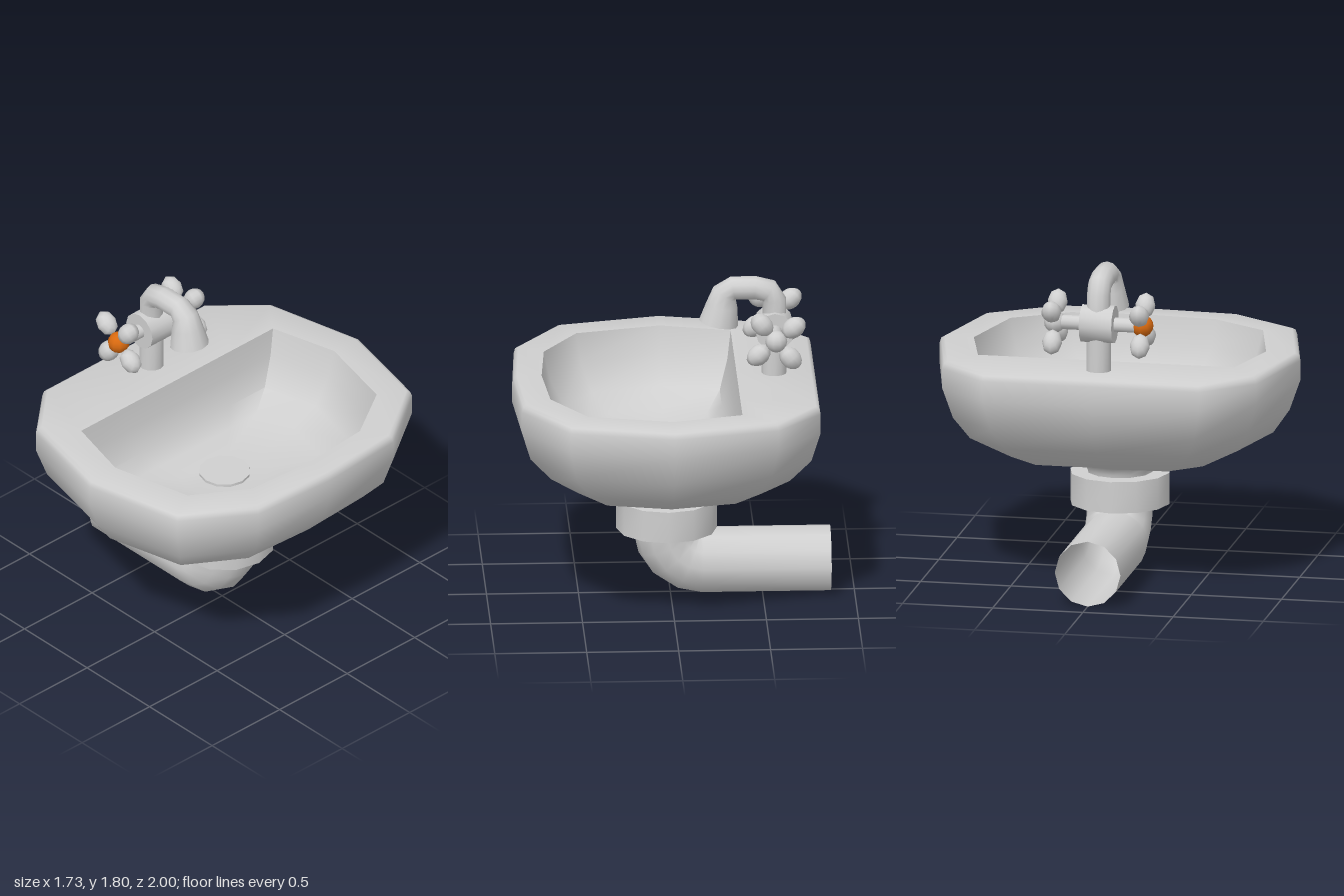
import * as THREE from 'three';
import { toCreasedNormals } from 'three/addons/utils/BufferGeometryUtils.js';

const CX = 0.02; // bowl and drain axis
const SIDES = 12;

// Skin a series of closed rings, each an array of [x, y, z]
function loft(rings, crease = 1.0) {
  const n = rings[0].length, index = [];
  for (let i = 0; i < rings.length - 1; i++) {
    for (let j = 0; j < n; j++) {
      const k = (j + 1) % n;
      const a = i * n + j, b = i * n + k, c = a + n, d = b + n;
      index.push(a, c, b, c, d, b);
    }
  }
  const g = new THREE.BufferGeometry();
  g.setAttribute('position', new THREE.Float32BufferAttribute(rings.flat(2), 3));
  g.setIndex(index);
  return toCreasedNormals(g, crease);
}

// Round tube along a path of [x, y, radius] in the xy plane
function sweep(path) {
  return loft(path.map(([x, y, r], i) => {
    const p = path[Math.max(i - 1, 0)], q = path[Math.min(i + 1, path.length - 1)];
    const t = new THREE.Vector2(q[0] - p[0], q[1] - p[1]).normalize();
    return Array.from({ length: SIDES }, (_, j) => {
      const a = j / SIDES * Math.PI * 2, c = r * Math.cos(a);
      return [x + c * t.y, y - c * t.x, r * Math.sin(a)];
    });
  }));
}

// Complete a half outline (z >= 0, from +x round to -x) by mirroring
const mirrorOutline = half => [...half, ...half.slice(1, -1).reverse().map(([x, z]) => [x, -z])];

export function createModel() {
  const model = new THREE.Group();
  model.name = 'washBasin';
  const ceramic = new THREE.MeshStandardMaterial({ color: 0xcfcfcf, side: THREE.DoubleSide });
  ceramic.name = 'light grey';
  const orange = new THREE.MeshStandardMaterial({ color: 0xd96a10 });
  orange.name = 'orange';

  const add = (name, geometry, parent = model, material = ceramic) => {
    const mesh = new THREE.Mesh(geometry, material);
    mesh.name = name;
    parent.add(mesh);
    return mesh;
  };
  const cylinder = (r, h) => toCreasedNormals(new THREE.CylinderGeometry(r, r, h, SIDES), 1);

  // Bowl: outer shell from the neck up, over the rim and down to the floor
  const outer = mirrorOutline([[0.86, 0], [0.83, 0.5], [0.58, 0.87], [0.02, 1], [-0.55, 0.87], [-0.79, 0.6], [-0.79, 0]]);
  const inner = mirrorOutline([[0.70, 0], [0.67, 0.4], [0.48, 0.7], [0.02, 0.81], [-0.36, 0.71], [-0.36, 0.4], [-0.36, 0]]);
  const circle = outer.map((_, i) => {
    const a = i / SIDES * Math.PI * 2;
    return [CX + Math.cos(a), Math.sin(a)];
  });
  const ring = (shape, y, sx, sz = sx) => shape.map(([x, z]) => [CX + (x - CX) * sx, y, z * sz]);
  add('bowl', loft([
    ring(circle, 0.52, 0.18), ring(circle, 0.56, 0.18), ring(circle, 0.6, 0.21),
    ring(outer, 0.68, 0.62, 0.61), ring(outer, 0.8, 0.8, 0.85), ring(outer, 0.93, 0.94),
    ring(outer, 1.1, 1), ring(outer, 1.21, 1), ring(outer, 1.24, 0.99), ring(outer, 1.25, 0.97),
    ring(inner, 1.25, 1), ring(inner, 1.1, 0.95), ring(inner, 0.95, 0.83),
    ring(inner, 0.87, 0.64), ring(inner, 0.83, 0.3), ring(inner, 0.83, 0),
  ]));

  // Drain plug and collar under the bowl
  add('drain', cylinder(0.14, 0.03)).position.set(CX, 0.83, 0);
  add('collar', cylinder(0.275, 0.175)).position.set(CX, 0.4575, 0);

  // Waste pipe: quarter bend, then a straight open run to the wall
  const pipe = [[CX, 0.42, 0.182]];
  for (let i = 0; i <= 4; i++) {
    const a = i / 4 * Math.PI / 2;
    pipe.push([-0.17 + 0.19 * Math.cos(a), 0.372 - 0.19 * Math.sin(a), 0.182]);
  }
  pipe.push([-0.87, 0.182, 0.182]);
  add('wastePipe', sweep(pipe));

  // Tap: post, valve body, cross rod and flared spout
  const tap = new THREE.Group();
  tap.name = 'tap';
  model.add(tap);
  const TX = -0.565, TY = 1.51;
  add('post', cylinder(0.068, 0.27), tap).position.set(TX, 1.375, 0);
  const body = add('valveBody', cylinder(0.105, 0.18), tap);
  body.position.set(TX, TY, 0);
  body.rotation.x = Math.PI / 2;
  const rod = add('crossRod', cylinder(0.04, 0.48), tap);
  rod.position.set(TX, TY, 0);
  rod.rotation.x = Math.PI / 2;
  add('spout', sweep([
    [TX, 1.5, 0.065], [TX, 1.67, 0.065], [-0.535, 1.72, 0.065], [-0.46, 1.737, 0.065],
    [-0.34, 1.737, 0.065], [-0.295, 1.705, 0.073], [-0.28, 1.64, 0.087],
    [-0.262, 1.54, 0.108], [-0.262, 1.54, 0],
  ]), tap);

  // Two four-lobed handles; the front one has a coloured hub
  for (const side of [1, -1]) {
    const handle = new THREE.Group();
    handle.name = side > 0 ? 'frontHandle' : 'backHandle';
    handle.position.set(TX, TY, side * 0.243);
    tap.add(handle);
    add('hub', new THREE.SphereGeometry(0.06, 10, 8), handle, side > 0 ? orange : ceramic);
    for (let i = 0; i < 4; i++) {
      const a = THREE.MathUtils.degToRad(51 + 90 * i);
      const lobe = add('lobe', new THREE.SphereGeometry(1, 8, 8), handle);
      lobe.scale.set(0.072, 0.055, 0.055);
      lobe.position.set(0.123 * Math.cos(a), 0.123 * Math.sin(a), 0);
      lobe.rotation.z = a;
    }
  }
  return model;
}
